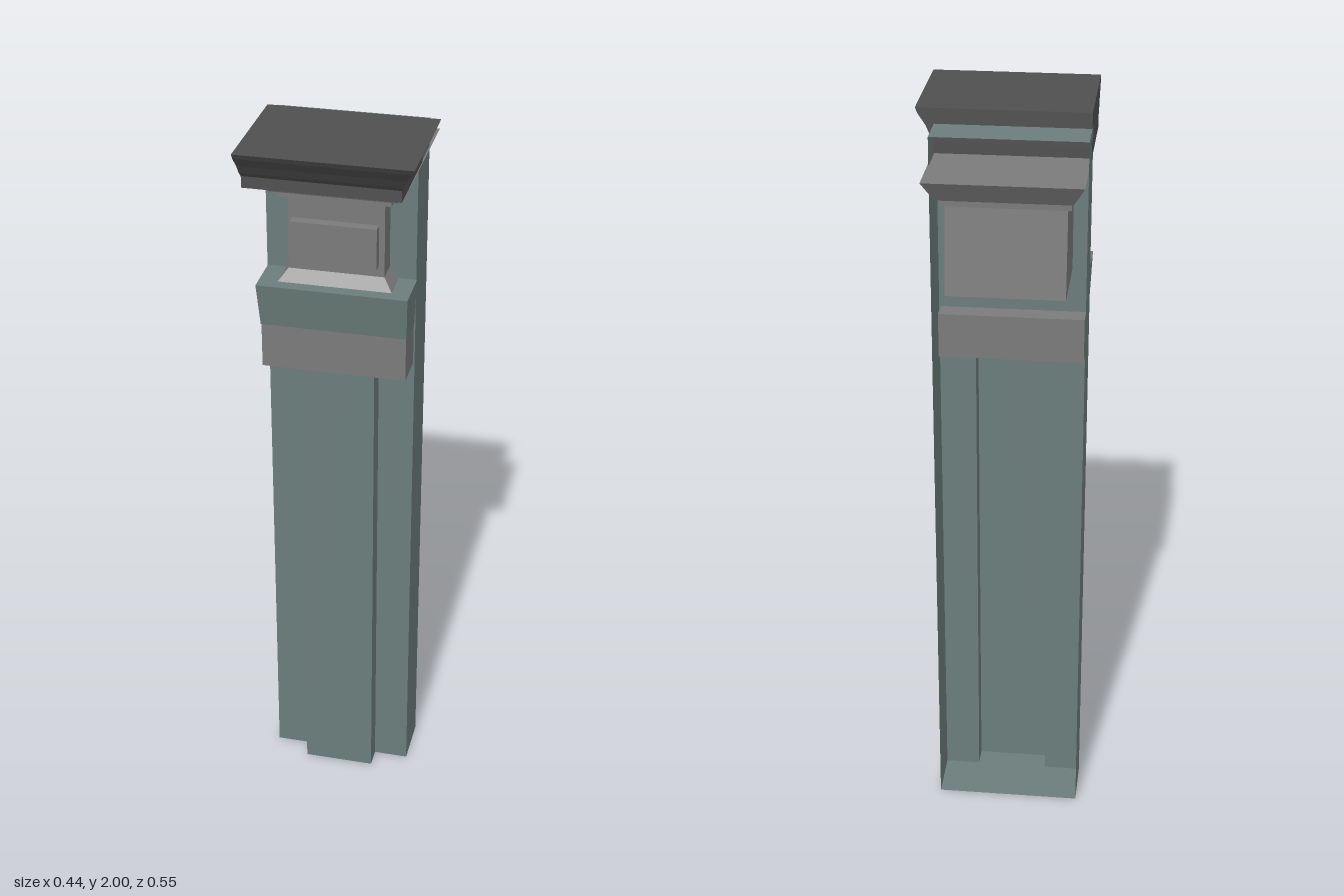
import * as THREE from 'three';

const TEAL = 0x6b7d7b, GREY = 0x7b7b7b, DARK = 0x505050;

function material(color) {
  return new THREE.MeshStandardMaterial({ color, flatShading: true, side: THREE.DoubleSide });
}

function add(group, name, geometry, color) {
  const mesh = new THREE.Mesh(geometry, material(color));
  mesh.name = name;
  group.add(mesh);
}

// Closed moulding lofted through rectangles [y, x0, x1, z0, z1], bottom to top.
function moulding(sections) {
  const pos = [], index = [];
  for (const [y, x0, x1, z0, z1] of sections) {
    pos.push(x0, y, z1, x1, y, z1, x1, y, z0, x0, y, z0);
  }
  const quad = (a, b, c, d) => index.push(a, b, c, a, c, d);
  for (let i = 0; i < sections.length - 1; i++) {
    for (let k = 0; k < 4; k++) {
      const a = i * 4 + k, b = i * 4 + (k + 1) % 4;
      quad(a, b, b + 4, a + 4);
    }
  }
  const t = (sections.length - 1) * 4;
  quad(3, 2, 1, 0);
  quad(t, t + 1, t + 2, t + 3);
  return finish(pos, index);
}

function finish(pos, index) {
  const g = new THREE.BufferGeometry();
  g.setAttribute('position', new THREE.Float32BufferAttribute(pos, 3));
  g.setIndex(index);
  const flat = g.toNonIndexed();
  flat.computeVertexNormals();
  return flat;
}

// Thin upright wall following an open plan outline of [x, z] points.
function wall(plan, height) {
  const pos = [], index = [];
  plan.forEach(([x, z], i) => {
    pos.push(x, 0, z, x, height, z);
    if (i) {
      const a = 2 * i - 2;
      index.push(a, a + 2, a + 3, a, a + 3, a + 1);
    }
  });
  return finish(pos, index);
}

function plate(plan, y) {
  const shape = new THREE.Shape(plan.map(([x, z]) => new THREE.Vector2(x, -z)));
  return new THREE.ShapeGeometry(shape).rotateX(-Math.PI / 2).translate(0, y, 0);
}

export function createModel() {
  const model = new THREE.Group();
  model.name = 'pilaster';

  // Shaft: hollow channel, open at the back, with a raised front rib
  const plan = [
    [-0.22, -0.155], [-0.22, -0.015], [-0.12, -0.015], [-0.12, 0.04],
    [0.075, 0.04], [0.075, -0.015], [0.17, -0.015], [0.17, -0.155],
  ];
  const shaft = new THREE.Group();
  shaft.name = 'shaft';
  model.add(shaft);
  add(shaft, 'shaftWall', wall(plan, 1.96), TEAL);
  add(shaft, 'shaftFloor', plate(plan, 0), TEAL);
  add(shaft, 'shaftTop', plate(plan, 1.96), TEAL);

  // Collar: plain band below, flared ledge above
  add(model, 'collarBand', moulding([
    [1.34, -0.212, 0.166, -0.068, 0.085],
    [1.46, -0.212, 0.166, -0.068, 0.085],
  ]), GREY);
  add(model, 'collarLedge', moulding([
    [1.46, -0.214, 0.167, -0.015, 0.085],
    [1.58, -0.219, 0.172, -0.015, 0.107],
  ]), TEAL);

  // Front capital: flared foot, neck, fillet and cornice
  const front = new THREE.Group();
  front.name = 'frontCapital';
  model.add(front);
  add(front, 'frontNeck', moulding([
    [1.58, -0.17, 0.125, -0.016, 0.073],
    [1.61, -0.147, 0.101, -0.016, 0.049],
    [1.81, -0.147, 0.101, -0.016, 0.049],
  ]), GREY);
  add(front, 'frontPanel', moulding([
    [1.64, -0.135, 0.086, 0.045, 0.075],
    [1.75, -0.135, 0.086, 0.045, 0.075],
  ]), GREY);
  add(front, 'frontCornice', moulding([
    [1.81, -0.167, 0.12, -0.016, 0.065],
    [1.83, -0.167, 0.12, -0.016, 0.065],
    [1.83, -0.188, 0.14, -0.016, 0.085],
    [1.885, -0.219, 0.174, -0.016, 0.115],
  ]), GREY);

  // Back capital: neck leaning outward at the foot, fillet and cornice
  const back = new THREE.Group();
  back.name = 'backCapital';
  model.add(back);
  add(back, 'backNeck', moulding([
    [1.58, -0.175, 0.125, -0.23, -0.017],
    [1.81, -0.175, 0.125, -0.203, -0.017],
  ]), GREY);
  add(back, 'backCornice', moulding([
    [1.81, -0.185, 0.135, -0.222, -0.017],
    [1.83, -0.185, 0.135, -0.222, -0.017],
    [1.83, -0.19, 0.145, -0.238, -0.017],
    [1.885, -0.219, 0.174, -0.275, -0.017],
  ]), GREY);

  // Top cap: flares to the front and one side, cut flush on the other
  add(model, 'topCap', moulding([
    [1.885, -0.22, 0.172, -0.052, 0.2],
    [1.915, -0.22, 0.172, -0.052, 0.2],
    [1.93, -0.22, 0.18, -0.052, 0.217],
    [1.955, -0.22, 0.19, -0.052, 0.235],
    [1.985, -0.22, 0.21, -0.052, 0.265],
    [2.0, -0.22, 0.216, -0.052, 0.275],
  ]), DARK);

  return model;
}
